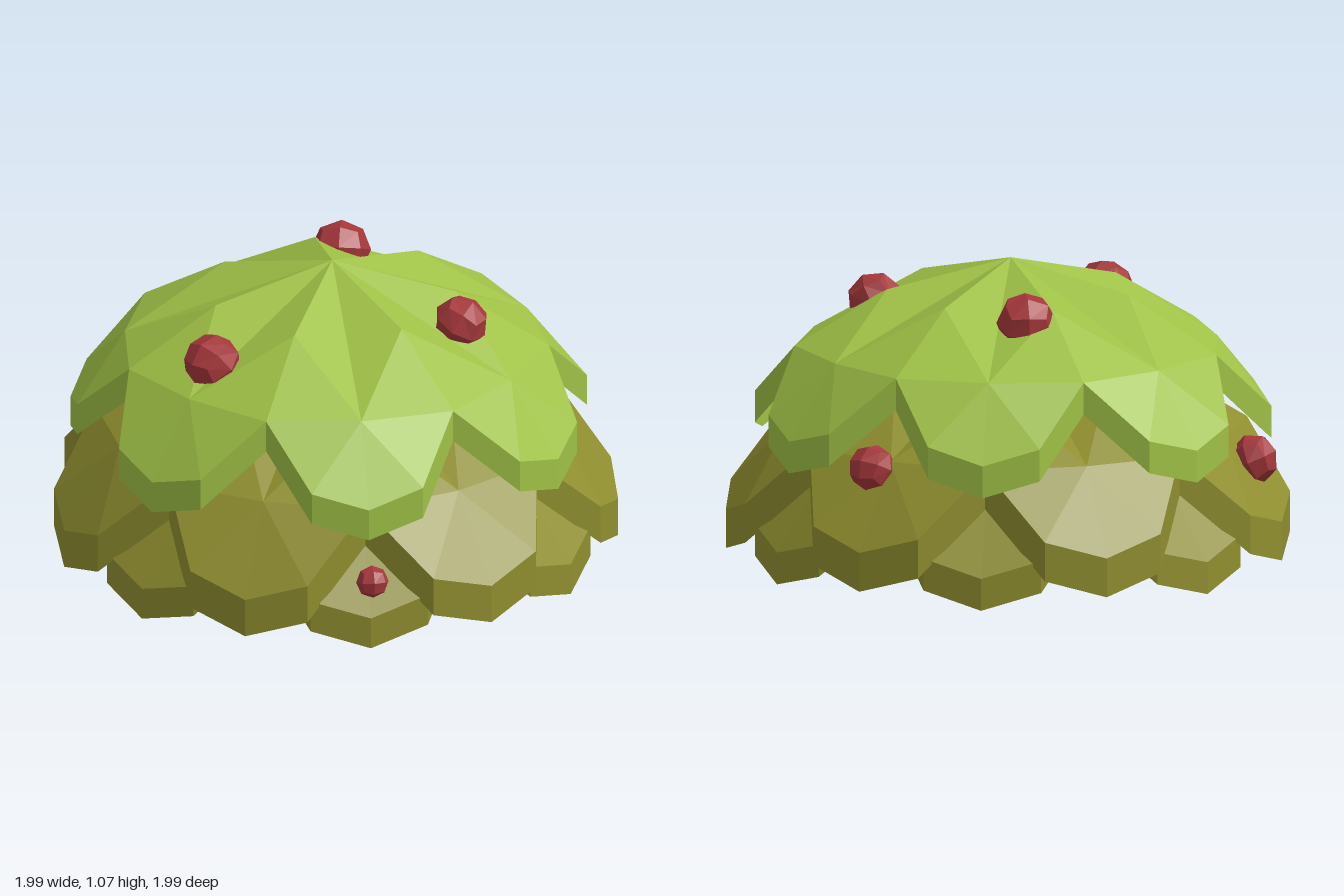
import * as THREE from 'three';

const PETALS = 7;
const STEP = (Math.PI * 2) / PETALS;

// Point at radius r, height y, angle a measured from the front (+z) towards +x
const polar = (r, y, a) => [r * Math.sin(a), y, r * Math.cos(a)];

// Faceted dome sheet with seven pointed petals and a hanging rim; heights are measured from the petal tip
function leafDome(width, height, tipY, rim, turn) {
  const out = [];
  const tri = (a, b, c) => out.push(...a, ...b, ...c);
  const drop = (p) => [p[0], p[1] - rim, p[2]];
  const pt = (r, y, a) => polar(r * width, tipY + y * height, a + turn);

  for (let i = 0; i < PETALS; i++) {
    const mid = i * STEP, left = mid - STEP / 2, right = mid + STEP / 2;
    const apex = pt(0, 0.56, 0);
    const ridgeA = pt(0.44, 0.455, left), ridgeB = pt(0.44, 0.455, right);
    const notchA = pt(0.768, 0.26, left), notchB = pt(0.768, 0.26, right);
    const heart = pt(0.735, 0.26, mid);
    const sideA = pt(0.909, 0.057, mid - 0.22), sideB = pt(0.909, 0.057, mid + 0.22);
    const tip = pt(0.927, 0, mid);

    // Petal surface, folded along the line from the apex to the petal's heart
    tri(apex, ridgeA, heart);
    tri(apex, heart, ridgeB);
    tri(ridgeA, notchA, heart);
    tri(heart, notchB, ridgeB);
    tri(notchA, sideA, heart);
    tri(sideA, tip, heart);
    tri(tip, sideB, heart);
    tri(sideB, notchB, heart);

    // Rim
    const edge = [notchA, sideA, tip, sideB, notchB];
    for (let k = 0; k < 4; k++) {
      const a = edge[k], b = edge[k + 1];
      tri(a, drop(a), drop(b));
      tri(a, drop(b), b);
    }
  }
  const geo = new THREE.BufferGeometry();
  geo.setAttribute('position', new THREE.Float32BufferAttribute(out, 3));
  geo.computeVertexNormals();
  return geo;
}

// Berry: a cube of 2x2 faces rounded into a ball
function berryGeometry() {
  const geo = new THREE.BoxGeometry(1, 1, 1, 2, 2, 2).toNonIndexed();
  const pos = geo.attributes.position;
  const v = new THREE.Vector3();
  for (let i = 0; i < pos.count; i++) {
    v.fromBufferAttribute(pos, i).normalize();
    pos.setXYZ(i, v.x, v.y, v.z);
  }
  geo.computeVertexNormals();
  return geo;
}

export function createModel() {
  const material = (name, color) => {
    const m = new THREE.MeshStandardMaterial({ color, side: THREE.DoubleSide });
    m.name = name;
    return m;
  };
  const green = material('leafGreen', 0x9fc146);
  const olive = material('leafOlive', 0x8f8e2f);
  const red = material('berryRed', 0xa5373b);

  const model = new THREE.Group();
  model.name = 'berryBush';

  // Three stacked leaf layers, each turned half a petal from the next
  const layers = [
    ['topLeaves', green, 1, 1, 0.51, 0.115, STEP / 2],
    ['middleLeaves', olive, 1.093, 1.12, 0.185, 0.14, 0],
    ['bottomLeaves', olive, 1.055, 1.05, 0.115, 0.115, STEP / 2],
  ];
  for (const [name, mat, ...shape] of layers) {
    const layer = new THREE.Mesh(leafDome(...shape), mat);
    layer.name = name;
    layer.position.z = -0.02;
    model.add(layer);
  }

  // Berries: x, y, z, radius
  const berries = [
    [-0.1, 0.925, -0.435, 0.107],
    [0.485, 0.905, 0.005, 0.1],
    [-0.28, 0.86, 0.5, 0.102],
    [-0.88, 0.39, -0.15, 0.09],
    [0.415, 0.455, -0.75, 0.084],
    [0.41, 0.23, 0.8, 0.058],
  ];
  const ball = berryGeometry();
  for (const [x, y, z, r] of berries) {
    const berry = new THREE.Mesh(ball, red);
    berry.name = 'berry';
    berry.position.set(x, y, z);
    berry.scale.set(r, r, r * 0.95);
    berry.lookAt(x * 2, y * 2, z * 2); // faces outward from the bush
    model.add(berry);
  }
  return model;
}
